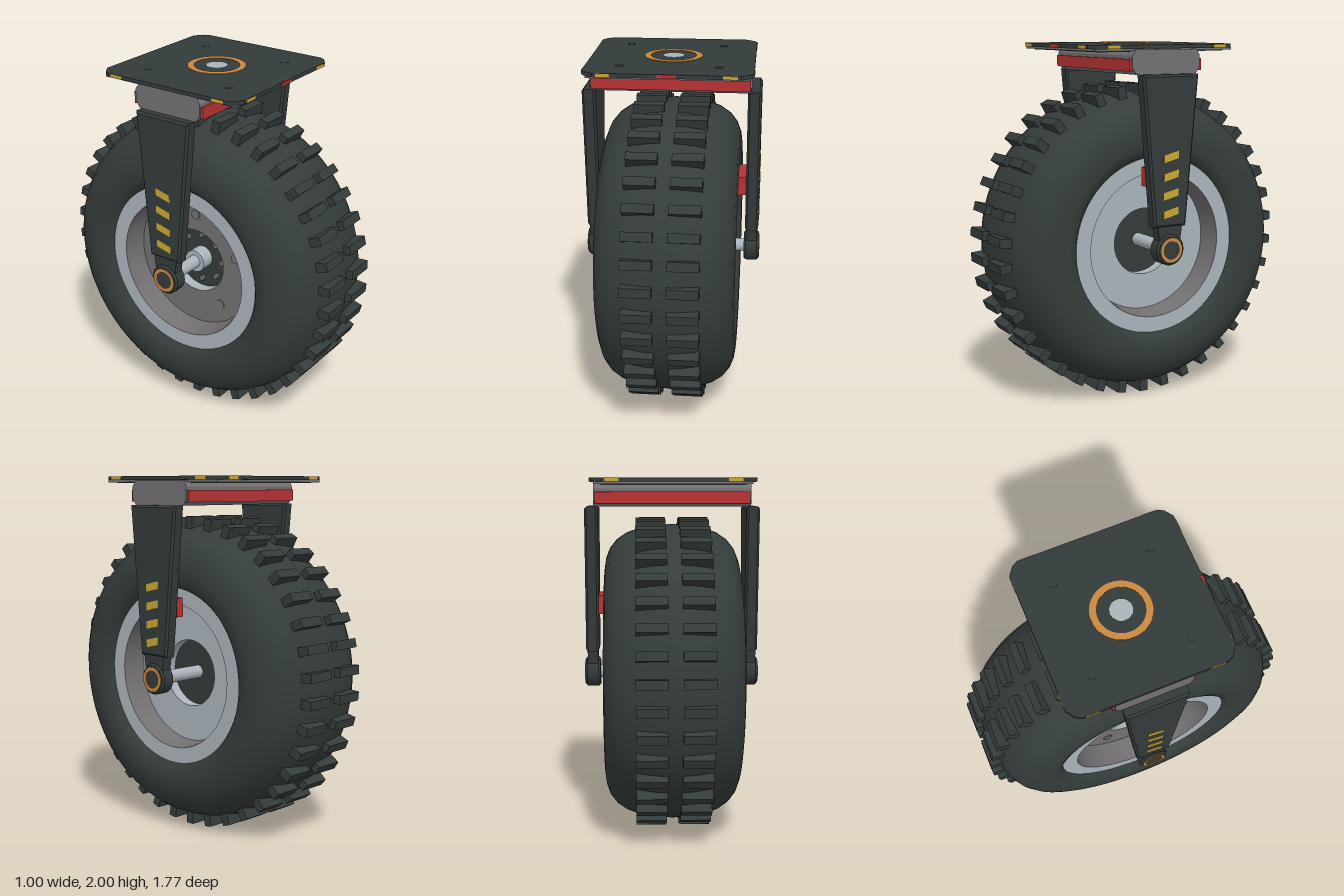
import * as THREE from 'three';
import { toCreasedNormals } from 'three/addons/utils/BufferGeometryUtils.js';

const material = (name, color) => {
  const m = new THREE.MeshStandardMaterial({ color });
  m.name = name;
  return m;
};

export function createModel() {
  const rubber = material('dark rubber', 0x343d3b);
  const paint = material('dark painted steel', 0x333b3a);
  const silver = material('silver', 0xabb4bc);
  const steel = material('grey steel', 0x727073);
  const red = material('red', 0xb83234);
  const yellow = material('yellow', 0xc9a834);
  const orange = material('orange', 0xcb883e);

  const model = new THREE.Group();
  model.name = 'casterWheel';
  const wheelY = 0.888;

  const add = (parent, name, geometry, mat, x = 0, y = 0, z = 0) => {
    const mesh = new THREE.Mesh(geometry, mat);
    mesh.name = name;
    mesh.position.set(x, y, z);
    parent.add(mesh);
    return mesh;
  };
  const box = (w, h, d) => new THREE.BoxGeometry(w, h, d);
  // revolve [radius, height] points about y, keeping sharp edges sharp
  const lathe = (points, segments = 64) => toCreasedNormals(
    new THREE.LatheGeometry(points.map(([r, h]) => new THREE.Vector2(r, h)), segments), 0.6);
  // same, but about the x axis; side -1 turns it to face -x
  const latheX = (points, side = 1, segments = 64) =>
    lathe(points, segments).rotateZ(-side * Math.PI / 2);
  const rod = (r, length, segments = 32) =>
    new THREE.CylinderGeometry(r, r, length, segments).rotateZ(Math.PI / 2);
  const polygon = (points) => new THREE.Shape(points.map(([a, b]) => new THREE.Vector2(a, b)));
  // extrude a (z, y) outline symmetrically along x
  const extrudeX = (points, width, bevel = 0) => {
    const depth = width - 2 * bevel;
    return new THREE.ExtrudeGeometry(polygon(points), {
      depth, bevelEnabled: bevel > 0, bevelSize: bevel, bevelThickness: bevel,
      bevelOffset: -bevel, bevelSegments: 1,
    }).translate(0, 0, -depth / 2).rotateY(-Math.PI / 2);
  };

  // ---- wheel ----
  const wheel = new THREE.Group();
  wheel.name = 'wheel';
  wheel.position.y = wheelY;
  model.add(wheel);

  const half = [[0.495, 0.33], [0.52, 0.362], [0.56, 0.377], [0.61, 0.38], [0.66, 0.373],
    [0.715, 0.352], [0.765, 0.312], [0.803, 0.255], [0.83, 0.18], [0.845, 0.09]];
  const tyreProfile = [...half.map(([r, h]) => [r, -h]), [0.85, 0], ...half.slice().reverse()];
  add(wheel, 'tyre', latheX(tyreProfile, 1, 96), rubber);

  // two rows of tread blocks
  const treadCount = 38;
  for (let i = 0; i < treadCount; i++) {
    const a = (i / treadCount) * Math.PI * 2;
    for (const s of [-1, 1]) {
      const block = add(wheel, 'treadBlock', box(0.168, 0.085, 0.05), rubber,
        s * 0.122, -Math.cos(a) * 0.8455, Math.sin(a) * 0.8455);
      block.rotation.x = -a;
    }
  }

  // dished rim on both sides
  for (const s of [-1, 1]) {
    add(wheel, 'rimFlange', latheX([[0.5, 0.325], [0.5, 0.335], [0.41, 0.335]], s, 96), silver);
    add(wheel, 'rimWall', latheX([[0.41, 0.335], [0.39, 0.2]], s, 96), steel);
    add(wheel, 'rimDisc', latheX([[0.39, 0.2], [0.19, 0.2]], s, 96), s > 0 ? silver : steel);
    add(wheel, 'hubWall', latheX([[0.19, 0.2], [0.19, 0.135]], s), silver);
    add(wheel, 'hubFloor', latheX([[0.19, 0.135], [0, 0.135]], s), paint);
    add(wheel, 'axle', rod(0.037, 0.33), silver, s * 0.295);
  }
  // bolted hub on the right side
  add(wheel, 'hubSleeve', rod(0.065, 0.09), silver, -0.17);
  for (let i = 0; i < 8; i++) {
    const a = (i / 8) * Math.PI * 2;
    add(wheel, 'hubBolt', rod(0.016, 0.02, 8), steel, -0.143, Math.cos(a) * 0.14, Math.sin(a) * 0.14);
  }
  for (let i = 0; i < 5; i++) {
    const a = (i / 5) * Math.PI * 2;
    add(wheel, 'discStud', rod(0.028, 0.008, 20), steel, -0.202, Math.cos(a) * 0.29, Math.sin(a) * 0.29);
  }

  // ---- fork ----
  const fork = new THREE.Group();
  fork.name = 'fork';
  model.add(fork);
  const legOutline = [[-0.1, 1.015], [0.1, 1.015], [0.175, 1.84], [-0.175, 1.84]];
  for (const s of [-1, 1]) {
    add(fork, 'forkLeg', extrudeX(legOutline, 0.075, 0.012), paint, s * 0.453);
    add(fork, 'forkNeck', extrudeX([[-0.06, 0.89], [0.06, 0.89], [0.078, 1.03], [-0.078, 1.03]], 0.06),
      paint, s * 0.453);
    add(fork, 'axleBoss', latheX([[0, -0.043], [0.075, -0.043], [0.086, -0.032],
      [0.086, 0.032], [0.075, 0.043], [0, 0.043]]), paint, s * 0.453, wheelY);
    add(fork, 'axleRing', latheX([[0.068, 0], [0.068, 0.005], [0.05, 0.005], [0.05, 0]], s),
      orange, s * 0.495, wheelY);
    // slanted warning stripes
    for (let i = 0; i < 4; i++) {
      add(fork, 'warningStripe',
        extrudeX([[-0.046, 0], [-0.046, 0.042], [0.046, 0.02], [0.046, -0.022]], 0.005),
        yellow, s * 0.4915, 1.085 + i * 0.102);
    }
  }
  add(fork, 'brakeBlock', box(0.045, 0.105, 0.23), red, 0.395, 1.288);

  // crown bridging both legs, with a red bar front and back
  add(fork, 'crown', extrudeX([[-0.185, 1.84], [0.185, 1.84], [0.21, 1.875], [0.21, 1.94],
    [0.19, 1.972], [-0.19, 1.972], [-0.21, 1.94], [-0.21, 1.875]], 0.875), steel);
  for (const s of [-1, 1]) {
    add(fork, 'crownBar', box(0.86, 0.064, 0.014), red, 0, 1.89, s * 0.217);
  }

  // ---- top plate ----
  const plate = new THREE.Group();
  plate.name = 'topPlate';
  model.add(plate);
  const e = 0.45, c = 0.385, m = 0.432;
  const plateShape = polygon([[c, -e], [m, -m + 0.015], [e, -c], [e, c], [m, m - 0.015], [c, e],
    [-c, e], [-m, m - 0.015], [-e, c], [-e, -c], [-m, -m + 0.015], [-c, -e]]);
  add(plate, 'plate', new THREE.ExtrudeGeometry(plateShape, { depth: 0.021, bevelEnabled: false })
    .rotateX(-Math.PI / 2), paint, 0, 1.976);
  add(plate, 'plateFrame', box(0.85, 0.014, 0.85), steel, 0, 1.971);
  add(plate, 'platePanel', box(0.78, 0.006, 0.78), paint, 0, 1.962);

  // kingpin rings and mounting bolts
  add(plate, 'swivelRing', lathe([[0.16, 0], [0.16, 0.003], [0.125, 0.003], [0.125, 0]]), orange, 0, 1.997);
  add(plate, 'kingpin', new THREE.CylinderGeometry(0.06, 0.06, 0.003, 32), silver, 0, 1.9985);
  for (const x of [-0.265, 0.265]) for (const z of [-0.265, 0.265]) {
    add(plate, 'mountingBolt', new THREE.CylinderGeometry(0.024, 0.024, 0.002, 20), paint, x, 1.998, z);
  }

  // coloured markers on the plate edges
  for (const s of [-1, 1]) {
    for (const t of [-0.33, 0.33]) {
      add(plate, 'edgeMarker', box(0.075, 0.018, 0.004), yellow, t, 1.986, s * 0.451);
      add(plate, 'edgeMarker', box(0.004, 0.018, 0.075), yellow, s * 0.451, 1.986, t);
    }
  }
  add(plate, 'frontMarker', box(0.105, 0.018, 0.004), red, 0, 1.986, 0.451);
  add(plate, 'frontTick', box(0.035, 0.003, 0.012), red, 0, 1.9975, 0.444);

  return model;
}
